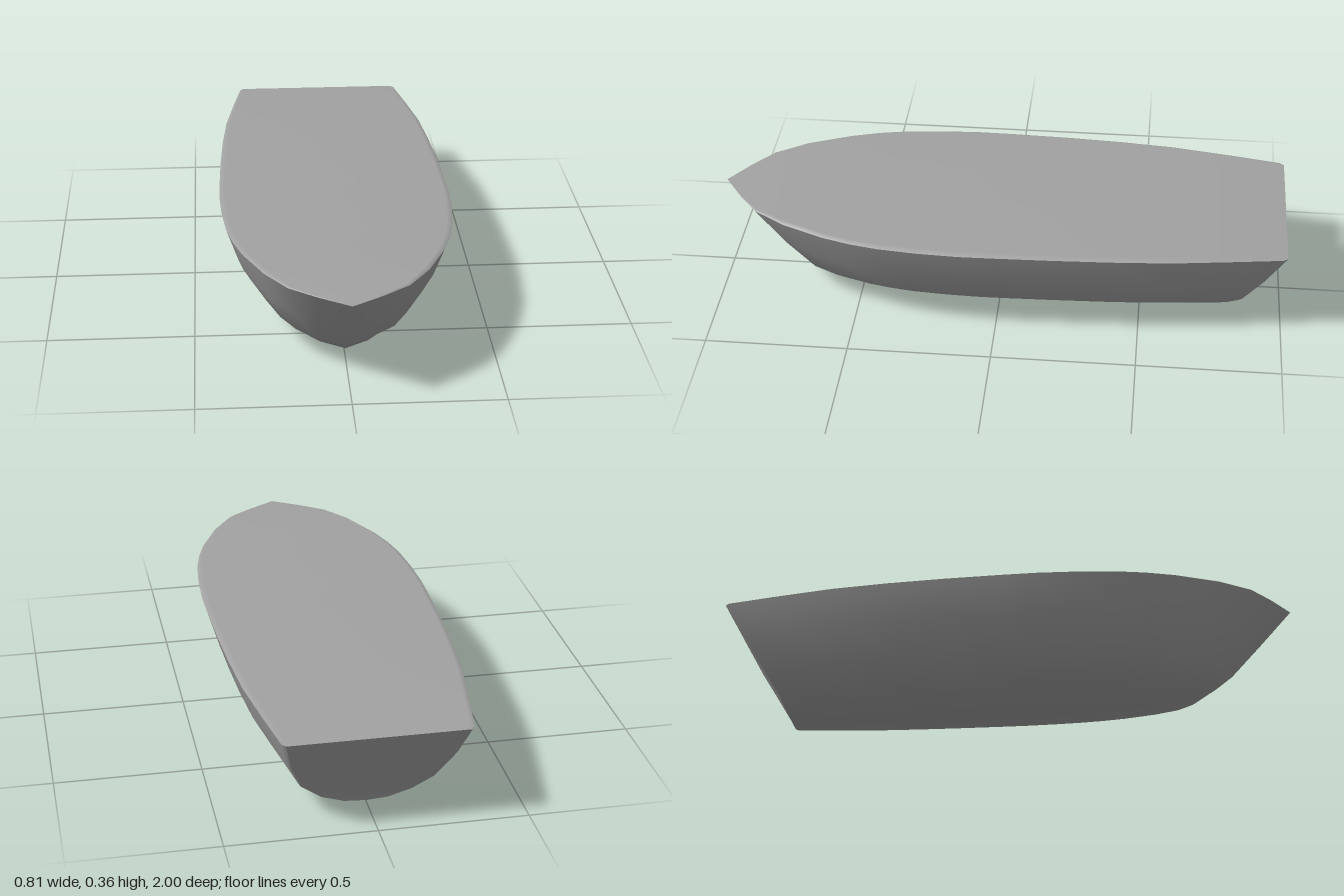
import * as THREE from 'three';
import { mergeVertices } from 'three/addons/utils/BufferGeometryUtils.js';

// Levels from rim to keel: [height, half width, bow z, stern z, bow fullness]
const LEVELS = [
  [0.35, 0.405, 1, -1, 1],
  [0.22, 0.365, 0.885, -0.925, 0.9],
  [0.105, 0.295, 0.78, -0.86, 0.8],
  [0.04, 0.205, 0.69, -0.82, 0.7],
  [0.01, 0.1, 0.5, -0.81, 0.7],
  [0.002, 0, 0.4, -0.805, 0.7],
];

// Plan outline from stern to bow: [position along the length, share of full width]
const OUTLINE = [
  [0, 0.735], [0.008, 0.765], [0.1, 0.84], [0.2, 0.915], [0.3, 0.955], [0.4, 0.98],
  [0.5, 0.995], [0.56, 1], [0.63, 0.985], [0.7, 0.95], [0.75, 0.9], [0.8, 0.825],
  [0.875, 0.66], [0.93, 0.48], [0.965, 0.26], [1, 0],
];

// Point on the hull, with the rim dropping slightly toward the stern
function hullPoint(level, station, side) {
  const [y, w, bow, stern, full] = LEVELS[level];
  const [t, f] = OUTLINE[station];
  const z = stern + t * (bow - stern);
  const drop = z < 0 ? 0.03 * z * z : 0;
  return [side * w * Math.pow(f, t > 0.56 ? full : 1), y * (1 - drop), z];
}

// Surface through a grid of points
function gridMesh(name, rows, cols, pointAt, material) {
  const positions = [], index = [];
  for (let i = 0; i < rows; i++) {
    for (let j = 0; j < cols; j++) {
      positions.push(...pointAt(i, j));
      if (i < rows - 1 && j < cols - 1) {
        const a = i * cols + j, b = a + 1, c = a + cols, d = c + 1;
        index.push(a, b, c, b, d, c);
      }
    }
  }
  let geometry = new THREE.BufferGeometry();
  geometry.setAttribute('position', new THREE.Float32BufferAttribute(positions, 3));
  geometry.setIndex(index);
  geometry = mergeVertices(geometry, 1e-5);
  geometry.computeVertexNormals();
  const mesh = new THREE.Mesh(geometry, material);
  mesh.name = name;
  return mesh;
}

export function createModel() {
  const group = new THREE.Group();
  group.name = 'boatHull';
  const material = new THREE.MeshStandardMaterial({ color: 0xa2a2a2, side: THREE.DoubleSide });
  const last = OUTLINE.length - 1;

  // One wrap runs from the left stern corner around the bow to the right stern corner
  const wrap = (level, j) => (j <= last ? hullPoint(level, j, 1) : hullPoint(level, 2 * last - j, -1));

  // The deck rises a little just inside the rim, fading out at stern and bow
  const deckColumns = [1, 0.95, -0.95, -1];
  const deckPoint = (i, j) => {
    const [x, y, z] = hullPoint(0, i, deckColumns[j]);
    const inside = j === 1 || j === 2;
    return [x, y + (inside ? 0.009 * Math.min(1, 4 * (1 - Math.abs(z))) : 0), z];
  };

  group.add(
    // Rounded sides and bottom
    gridMesh('hull', LEVELS.length, 2 * last + 1, wrap, material),
    // Raked flat stern
    gridMesh('transom', LEVELS.length, 2, (i, j) => hullPoint(i, 0, j ? 1 : -1), material),
    // Closed top
    gridMesh('deck', OUTLINE.length, 4, deckPoint, material),
  );
  return group;
}
